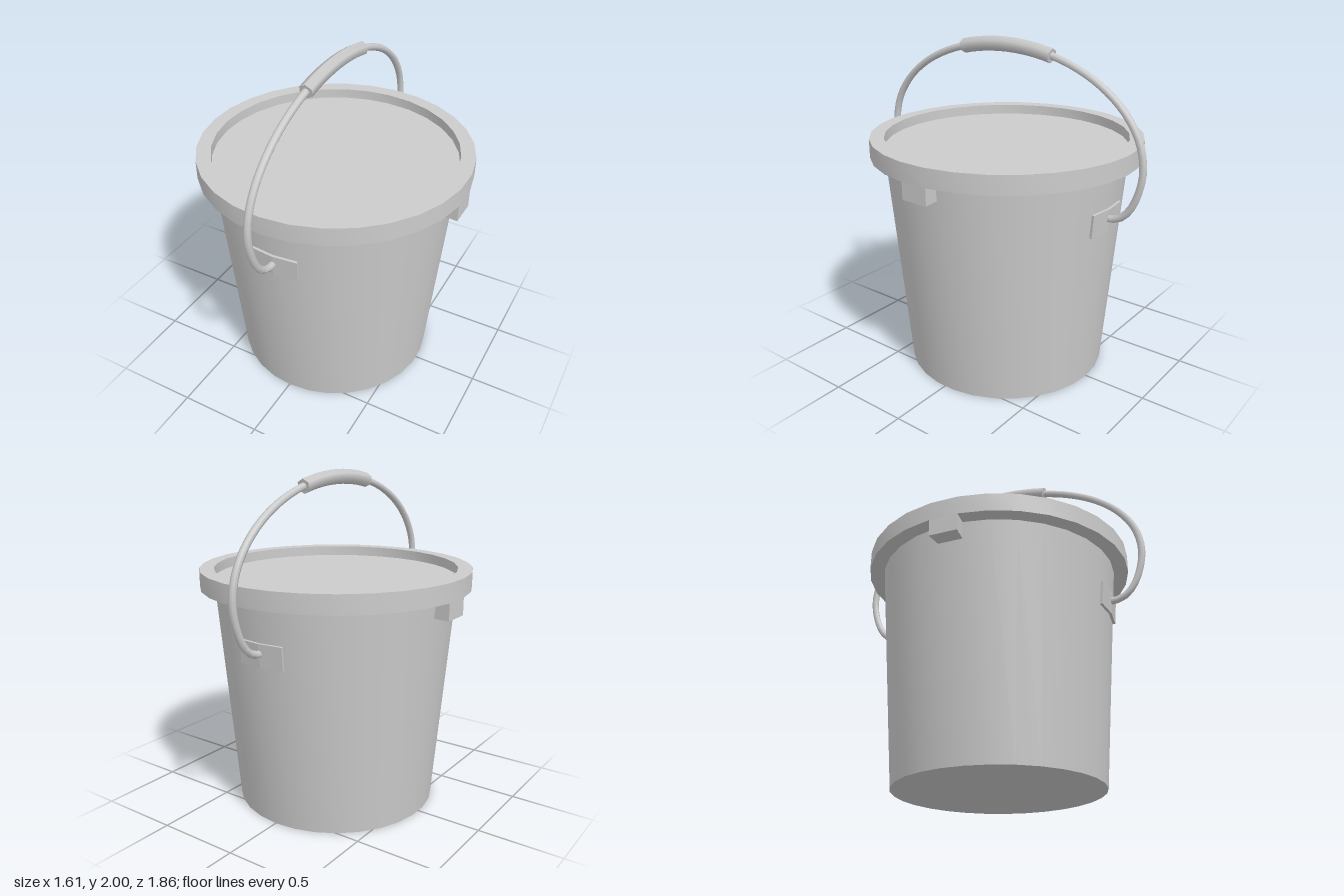
import * as THREE from 'three';
import { toCreasedNormals } from 'three/addons/utils/BufferGeometryUtils.js';

const SIDES = 30;
const STEP = (Math.PI * 2) / SIDES;
const material = new THREE.MeshStandardMaterial({ color: 0xcccccc });

// Radius of the tapered wall at height y
const wall = (y) => 0.607 + 0.085 * y;

function add(parent, name, geometry) {
  const mesh = new THREE.Mesh(geometry, material);
  mesh.name = name;
  parent.add(mesh);
  return mesh;
}

// Box bent around the y axis over a number of bucket facets
function bentBox(facets, y0, y1, inner, outer) {
  const g = new THREE.BoxGeometry(1, 1, 1, facets, 1, 1).toNonIndexed();
  const p = g.attributes.position;
  for (let i = 0; i < p.count; i++) {
    const a = p.getX(i) * facets * STEP;
    const y = p.getY(i) < 0 ? y0 : y1;
    const r = p.getZ(i) < 0 ? inner(y) : outer(y);
    p.setXYZ(i, r * Math.sin(a), y, r * Math.cos(a));
  }
  g.computeVertexNormals();
  return g;
}

// Capped cylinder bent along a curve lying in the yz plane
function bentRod(curve, radius, sides, segments) {
  const g = new THREE.CylinderGeometry(radius, radius, 1, sides, segments);
  const p = g.attributes.position;
  const n = g.attributes.normal;
  const X = new THREE.Vector3(1, 0, 0);
  const v = new THREE.Vector3();
  const basis = new THREE.Matrix4();
  for (let i = 0; i < p.count; i++) {
    const t = THREE.MathUtils.clamp(p.getY(i) + 0.5, 0, 1);
    const T = curve.getTangentAt(t);
    basis.makeBasis(X, T, new THREE.Vector3().crossVectors(X, T));
    v.set(p.getX(i), 0, p.getZ(i)).applyMatrix4(basis).add(curve.getPointAt(t));
    p.setXYZ(i, v.x, v.y, v.z);
    v.fromBufferAttribute(n, i).applyMatrix4(basis);
    n.setXYZ(i, v.x, v.y, v.z);
  }
  return g;
}

// Point on the elliptical upper arch of the handle
function archPoint(a) {
  return new THREE.Vector3(0, 1.37 + 0.587 * Math.cos(a), 0.907 * Math.sin(a));
}

export function createModel() {
  const model = new THREE.Group();
  model.name = 'lidded bucket';

  const bucket = new THREE.Group();
  bucket.name = 'bucket';
  bucket.position.z = -0.006;
  model.add(bucket);

  // Tapered body with overhanging rim and recessed lid
  const profile = [
    [0, 0], [wall(0), 0], [wall(1.33), 1.33], [0.807, 1.33],
    [0.807, 1.44], [0.722, 1.44], [0.722, 1.38], [0, 1.38],
  ].map(([x, y]) => new THREE.Vector2(x, y));
  add(bucket, 'bodyAndLid', toCreasedNormals(new THREE.LatheGeometry(profile, SIDES), 0.6));

  // Opening tabs under the rim, left and right
  for (const side of [1, -1]) {
    const tab = add(bucket, side > 0 ? 'leftTab' : 'rightTab',
      bentBox(1, 1.23, 1.33, (y) => wall(y) - 0.01, () => 0.807));
    tab.rotation.y = (side * Math.PI) / 2;
  }

  // Handle mounting plates, front and back
  for (const front of [true, false]) {
    const plate = add(bucket, front ? 'frontPlate' : 'backPlate',
      bentBox(2, 0.98, 1.12, (y) => wall(y) - 0.01, (y) => wall(y) + 0.016));
    plate.rotation.y = front ? 0 : Math.PI;
  }

  // Wire handle: arch with ends hooking in to the plates
  const hook = [[0.69, 1.06], [0.74, 1.063], [0.79, 1.083], [0.84, 1.135], [0.885, 1.235]];
  const path = hook.map(([z, y]) => new THREE.Vector3(0, y, z));
  for (let i = 0; i <= 12; i++) path.push(archPoint(Math.PI / 2 - (i * Math.PI) / 12));
  for (const [z, y] of hook.slice().reverse()) path.push(new THREE.Vector3(0, y, -z));
  const handle = new THREE.Group();
  handle.name = 'handle';
  model.add(handle);
  add(handle, 'handleWire', bentRod(new THREE.CatmullRomCurve3(path), 0.0215, 8, 64));

  // Six-sided grip around the top of the wire
  const gripPath = [];
  for (let i = -4; i <= 4; i++) gripPath.push(archPoint((-i / 4) * 0.352));
  add(handle, 'grip', bentRod(new THREE.CatmullRomCurve3(gripPath), 0.043, 6, 10));

  return model;
}
